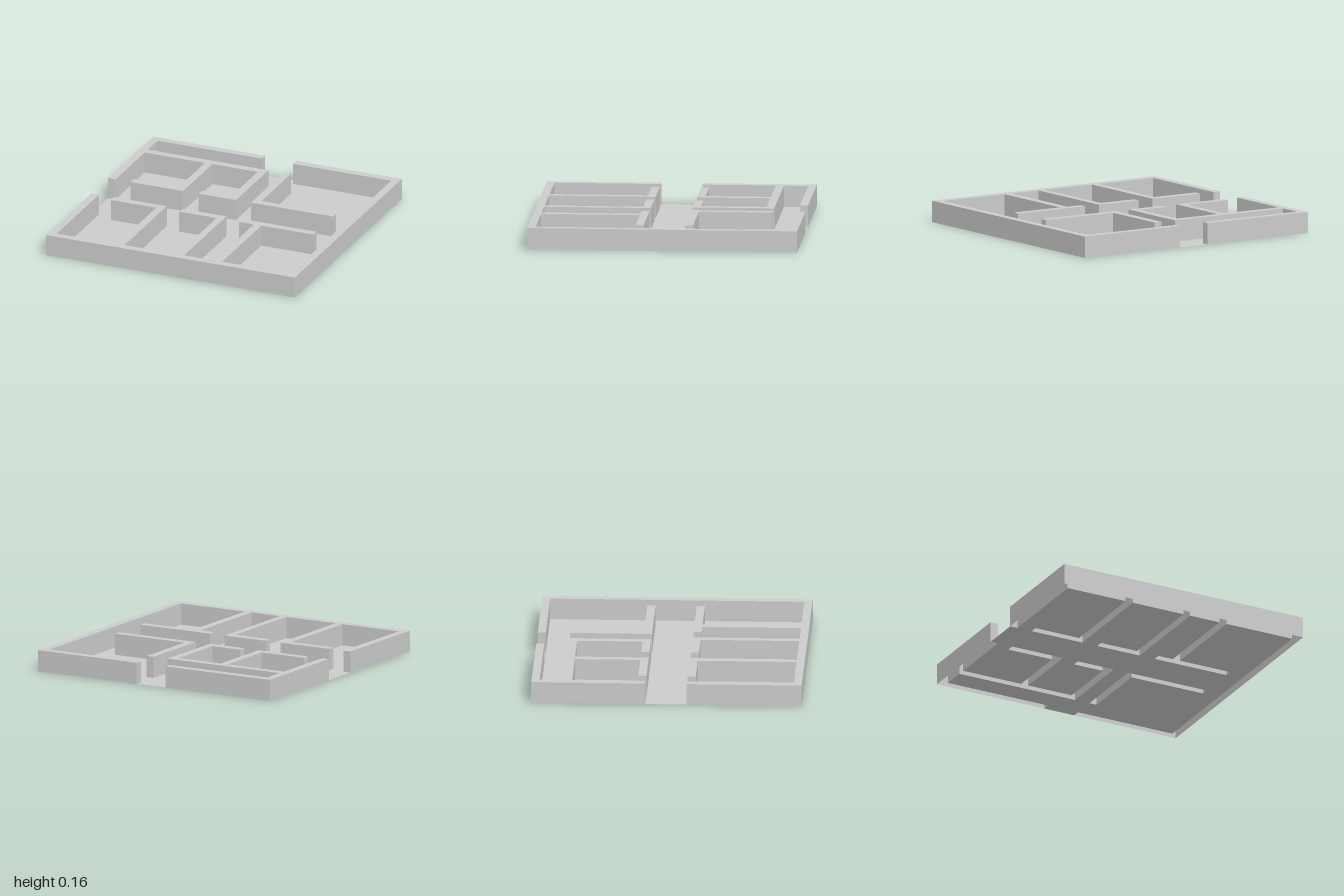
import * as THREE from 'three';

const HEIGHT = 0.16;

// Plan outlines as [x, z]; each path runs along the room side of a wall run.
// Back-right block: from the side doorway to the back doorway.
const blockPath = [
  [-1, -0.155], [-0.94, -0.155], [-0.94, -0.7], [-0.455, -0.7], [-0.455, -0.215],
  [-0.82, -0.215], [-0.82, -0.155], [-0.395, -0.155], [-0.395, -0.7], [-0.03, -0.7],
  [-0.03, -0.215], [-0.27, -0.215], [-0.27, -0.155], [0.03, -0.155], [0.03, -0.76],
  [-0.94, -0.76], [-0.94, -0.94], [-0.1, -0.94], [-0.1, -1],
];
// Main run: from the back doorway round the left and front to the side doorway.
const mainPath = [
  [0.15, -1], [0.15, -0.94], [0.94, -0.94], [0.94, 0.94], [0.39, 0.94], [0.39, 0.21],
  [0.81, 0.21], [0.81, 0.15], [0.21, 0.15], [0.21, 0.21], [0.33, 0.21], [0.33, 0.94],
  [0.085, 0.94], [0.085, 0.15], [-0.27, 0.15], [-0.27, 0.21], [0.03, 0.21], [0.03, 0.94],
  [-0.395, 0.94], [-0.395, 0.15], [-0.82, 0.15], [-0.82, 0.21], [-0.455, 0.21],
  [-0.455, 0.94], [-0.94, 0.94], [-0.94, 0.15], [-1, 0.15],
];
// Free-standing L-shaped partition.
const partitionPath = [
  [0.15, -0.76], [0.21, -0.76], [0.21, -0.215], [0.81, -0.215], [0.81, -0.155], [0.15, -0.155],
];

const toPoints = (path) => path.map(([x, z]) => new THREE.Vector2(x, -z));

// Extruded wall, left open underneath.
function wallGeometry(path) {
  const solid = new THREE.ExtrudeGeometry(new THREE.Shape(toPoints(path)), {
    depth: HEIGHT, bevelEnabled: false,
  }).rotateX(-Math.PI / 2);
  const pos = solid.getAttribute('position');
  const kept = [];
  for (let i = 0; i < pos.count; i += 3) {
    const top = Math.max(pos.getY(i), pos.getY(i + 1), pos.getY(i + 2));
    if (top < HEIGHT / 2) continue; // underside triangle
    for (let k = i; k < i + 3; k++) kept.push(pos.getX(k), pos.getY(k), pos.getZ(k));
  }
  const geometry = new THREE.BufferGeometry();
  geometry.setAttribute('position', new THREE.Float32BufferAttribute(kept, 3));
  geometry.computeVertexNormals();
  return geometry;
}

export function createModel() {
  const group = new THREE.Group();
  group.name = 'floorPlan';
  const material = new THREE.MeshStandardMaterial({ color: 0xcccccc, side: THREE.DoubleSide });
  const add = (name, geometry) => {
    const mesh = new THREE.Mesh(geometry, material);
    mesh.name = name;
    group.add(mesh);
  };

  // Walls, closed off with the outer corners of the square
  add('roomBlockWalls', wallGeometry([...blockPath, [-1, -1]]));
  add('mainWalls', wallGeometry([...mainPath, [-1, 1], [1, 1], [1, -1]]));
  add('partitionWall', wallGeometry(partitionPath));

  // Floor fills everything between the walls, doorways included
  const floor = new THREE.Shape(toPoints([...blockPath, ...mainPath]));
  floor.holes.push(new THREE.Path(toPoints(partitionPath)));
  add('floor', new THREE.ShapeGeometry(floor).rotateX(-Math.PI / 2));

  return group;
}
